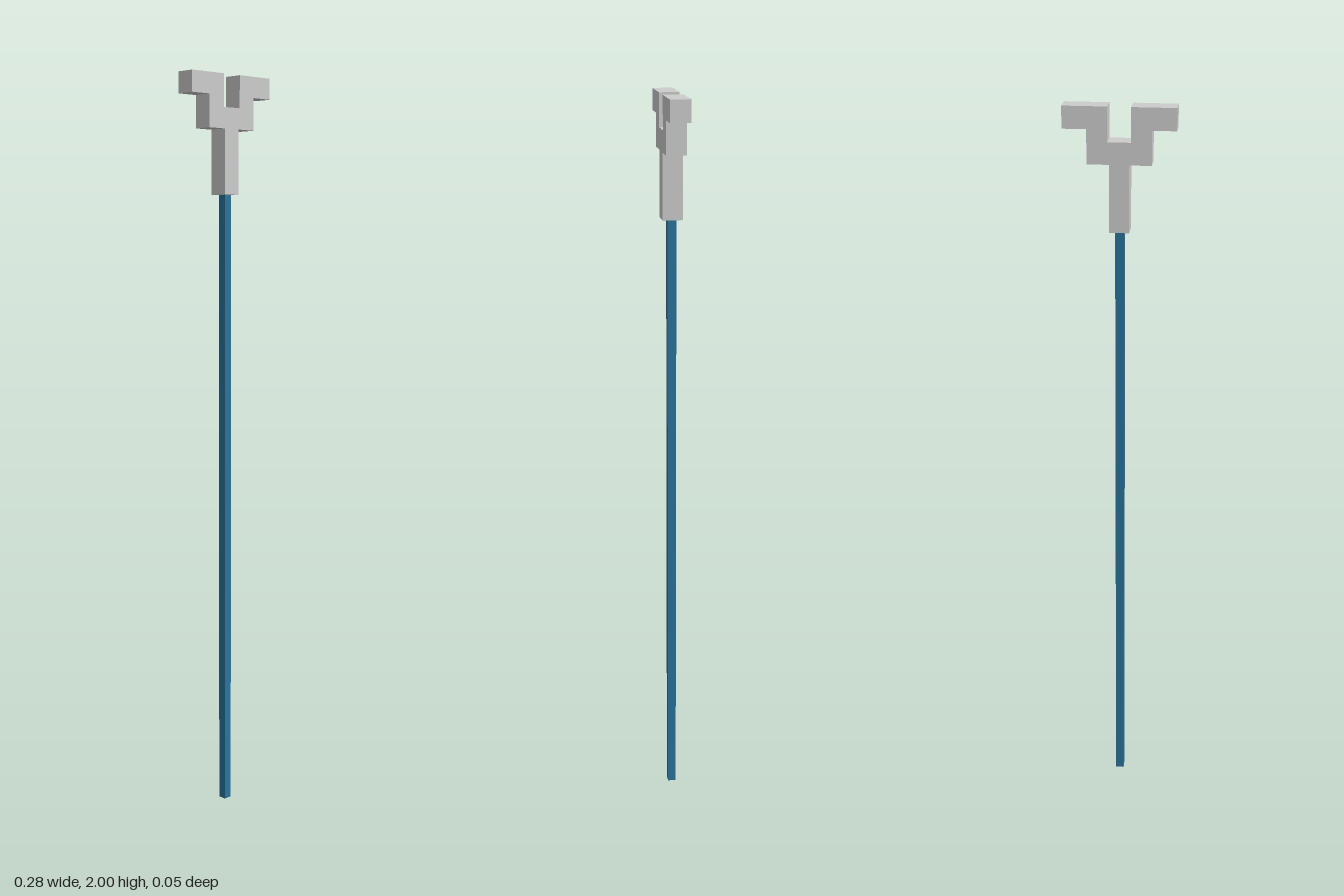
import * as THREE from 'three';

export function createModel() {
  const group = new THREE.Group();
  const grey = new THREE.MeshStandardMaterial({ color: 0xcccccc });
  const blue = new THREE.MeshStandardMaterial({ color: 0x2a7299 });

  // Stepped fork head: right half of the outline, mirrored for the other half
  const half = [
    [0.025, 1.69], [0.025, 1.86], [0.08, 1.86], [0.08, 1.945],
    [0.14, 1.945], [0.14, 2], [0.029, 2], [0.029, 1.915],
  ];
  const outline = [...half, ...half.map(([x, y]) => [-x, y]).reverse()];
  const depth = 0.052;
  const headGeometry = new THREE.ExtrudeGeometry(
    new THREE.Shape(outline.map(([x, y]) => new THREE.Vector2(x, y))),
    { depth, bevelEnabled: false },
  );
  headGeometry.translate(0, 0, -depth / 2);
  const head = new THREE.Mesh(headGeometry, grey);
  head.name = 'forkHead';
  group.add(head);

  // Long square pole
  const pole = new THREE.Mesh(new THREE.BoxGeometry(0.023, 1.69, 0.023), blue);
  pole.name = 'pole';
  pole.position.y = 0.845;
  group.add(pole);

  return group;
}
